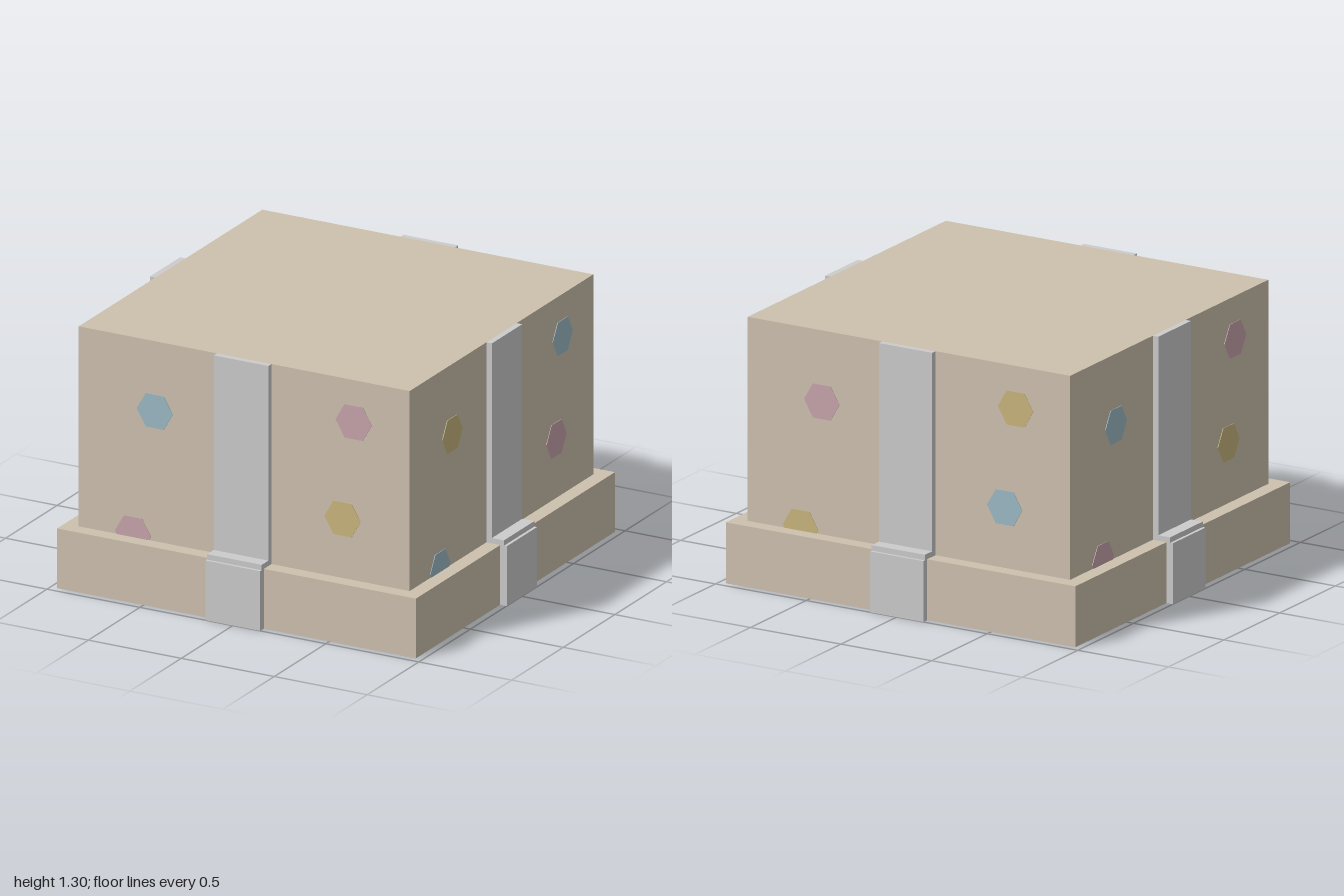
import * as THREE from 'three';

const LID = 0.965, BODY = 0.89;      // half widths
const LID_TOP = 0.3, TOP = 1.305;    // heights
const RIBBON_WIDTH = 0.294;

const paint = (color) => new THREE.MeshStandardMaterial({ color, flatShading: true });

function part(name, geometry, material) {
  const mesh = new THREE.Mesh(geometry, material);
  mesh.name = name;
  return mesh;
}

// Box of square plan between two heights
function block(name, half, y0, y1, material) {
  const geometry = new THREE.BoxGeometry(half * 2, y1 - y0, half * 2);
  geometry.translate(0, (y0 + y1) / 2, 0);
  return part(name, geometry, material);
}

// Ribbon section (outward, height), swept across the ribbon's width
function ribbonGeometry() {
  const profile = [
    [LID, 0], [1, 0], [1, LID_TOP], [0.985, LID_TOP], [0.985, 0.327],
    [0.92, 0.327], [0.92, TOP], [BODY, TOP], [BODY, LID_TOP], [LID, LID_TOP],
  ];
  const shape = new THREE.Shape(profile.map(([x, y]) => new THREE.Vector2(x, y)));
  const geometry = new THREE.ExtrudeGeometry(shape, { depth: RIBBON_WIDTH, bevelEnabled: false });
  geometry.translate(0, 0, -RIBBON_WIDTH / 2);
  geometry.rotateY(-Math.PI / 2);
  return geometry;
}

export function createModel() {
  const model = new THREE.Group();
  model.name = 'upturnedGiftBox';

  const card = paint(0xcdc0ae);
  const grey = paint(0xcccccc);
  const blue = paint(0x9cb9c5), pink = paint(0xc7a4ab), yellow = paint(0xc8b57d);

  // Lid underneath, body standing on it
  model.add(block('lid', LID, 0, LID_TOP, card));
  model.add(block('body', BODY, LID_TOP, TOP, card));

  // Thin hexagonal spot with its points to the sides
  const spot = new THREE.CylinderGeometry(0.097, 0.097, 0.006, 6);
  spot.rotateY(Math.PI / 2).rotateX(Math.PI / 2);
  const spotPlaces = [[-0.48, 0.953], [0.59, 1.093], [0.53, 0.597], [-0.597, 0.317]];

  // Each side repeats the ribbon and the spots, with its own spot colours
  const ribbon = ribbonGeometry();
  const sides = [
    ['front', [blue, pink, yellow, pink]],
    ['left', [yellow, blue, pink, blue]],
    ['back', [pink, yellow, blue, yellow]],
    ['right', [blue, pink, yellow, pink]],
  ];
  sides.forEach(([name, colors], i) => {
    const side = new THREE.Group();
    side.name = name + 'Side';
    side.rotation.y = i * Math.PI / 2;
    side.add(part(name + 'Ribbon', ribbon, grey));
    spotPlaces.forEach(([x, y], k) => {
      const mesh = part(name + 'Spot' + (k + 1), spot, colors[k]);
      mesh.position.set(x, y, BODY);
      side.add(mesh);
    });
    model.add(side);
  });

  return model;
}
